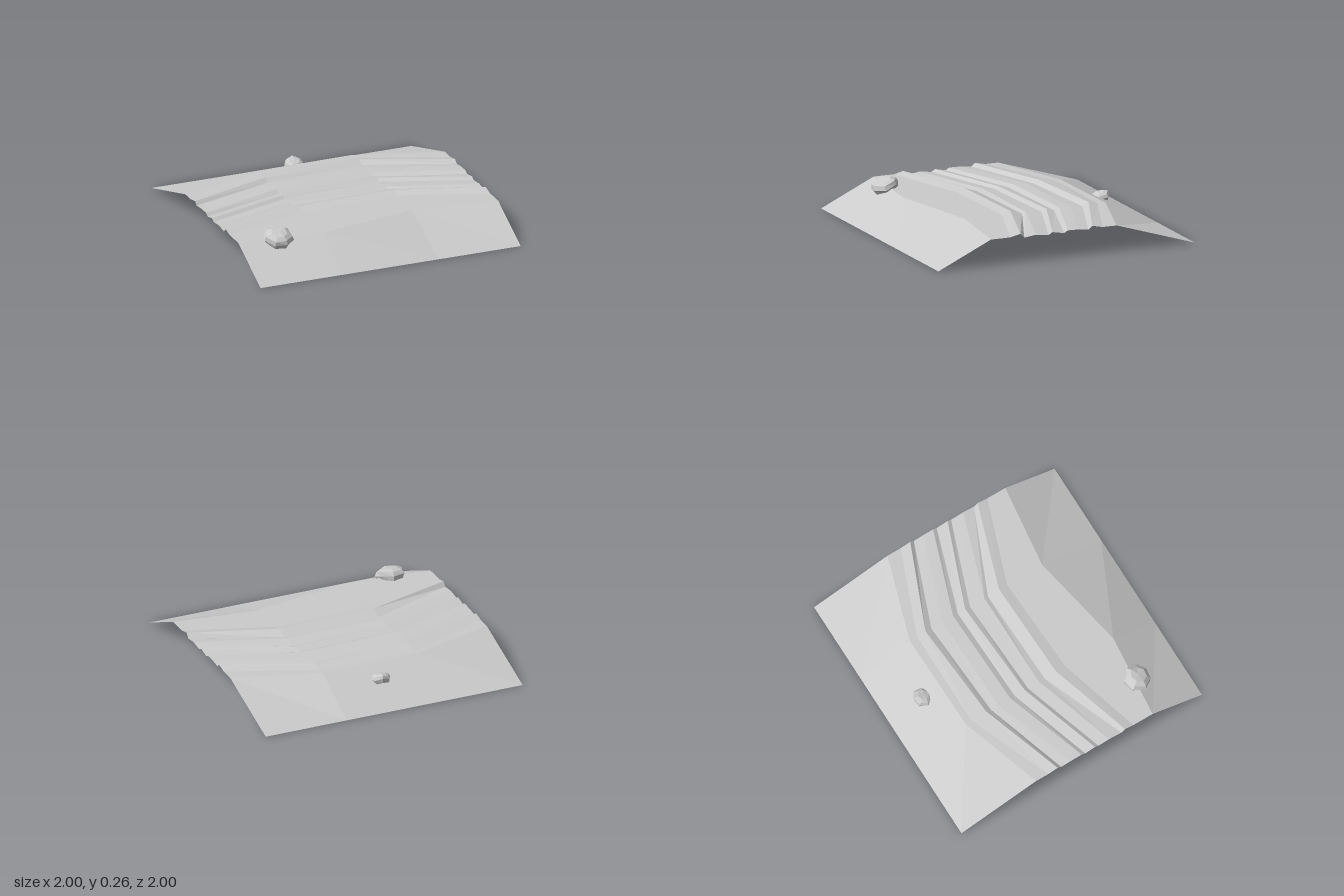
import * as THREE from 'three';

const STATIONS = [-1, -0.37, 0.37, 1];

// Lengthwise rows of the track, back to front: height, then z at each station.
const ROWS = [
  [0, -1, -1, -1, -1],
  [0.19, -0.38, -0.58, -0.59, -0.39], // back shoulder
  [0.19, -0.28, -0.53, -0.53, -0.28],
  [0.207, -0.2, -0.41, -0.46, -0.2], // back berm
  [0.183, -0.17, -0.37, -0.41, -0.17],
  [0.192, -0.09, -0.31, -0.32, -0.09],
  [0.194, 0, -0.21, -0.23, -0.01],
  [0.177, 0.03, -0.17, -0.19, 0.02], // middle groove
  [0.194, 0.11, -0.09, -0.13, 0.11],
  [0.177, 0.14, -0.06, -0.09, 0.14],
  [0.188, 0.23, 0.03, 0.03, 0.24],
  [0.177, 0.33, 0.08, 0.06, 0.33],
  [0.207, 0.36, 0.17, 0.15, 0.36], // front berm
  [0.19, 0.43, 0.25, 0.22, 0.44],
  [0.19, 0.59, 0.65, 0.51, 0.59], // front shoulder
  [0, 1, 1, 1, 1],
];

function roadGeometry() {
  const pos = [];
  const index = [];
  const n = STATIONS.length;
  ROWS.forEach(([y, ...zs], i) => {
    zs.forEach((z, j) => {
      pos.push(STATIONS[j], y, z);
      if (i === 0 || j === 0) return;
      const d = i * n + j;
      index.push(d - n - 1, d - 1, d, d - n - 1, d, d - n);
    });
  });
  const geo = new THREE.BufferGeometry();
  geo.setAttribute('position', new THREE.Float32BufferAttribute(pos, 3));
  geo.setIndex(index);
  geo.computeVertexNormals();
  return geo;
}

// Faceted boulder with an open underside, made uneven by a periodic rule.
function rockGeometry() {
  const profile = [[0.085, -0.045], [0.106, 0], [0.095, 0.03], [0.06, 0.05], [0, 0.054]];
  const geo = new THREE.LatheGeometry(profile.map(([r, y]) => new THREE.Vector2(r, y)), 7);
  const p = geo.attributes.position;
  for (let i = 0; i < p.count; i++) {
    const x = p.getX(i), y = p.getY(i), z = p.getZ(i);
    const a = Math.atan2(z, x);
    const k = 1 + 0.06 * Math.sin(2 * a + y * 40);
    p.setXYZ(i, x * k, y + 0.06 * Math.hypot(x, z) * Math.cos(3 * a + 1), z * k);
  }
  geo.computeVertexNormals();
  return geo;
}

export function createModel() {
  const group = new THREE.Group();

  const road = new THREE.Mesh(
    roadGeometry(),
    new THREE.MeshStandardMaterial({ color: 0xcccccc, flatShading: true, side: THREE.DoubleSide })
  );
  road.name = 'ruttedRoad';
  group.add(road);

  // Boulders sunk into the two embankments
  const stone = new THREE.MeshStandardMaterial({ color: 0xcccccc, flatShading: true });
  const rock = rockGeometry();
  const addRock = (name, x, y, z, scale, turn) => {
    const mesh = new THREE.Mesh(rock, stone);
    mesh.name = name;
    mesh.position.set(x, y, z);
    mesh.rotation.set(0.3, turn, 0);
    mesh.scale.setScalar(scale);
    group.add(mesh);
  };
  addRock('frontRock', -0.71, 0.2, 0.635, 1, 0.3);
  addRock('backRock', -0.02, 0.131, -0.725, 0.68, 1.2);

  return group;
}
